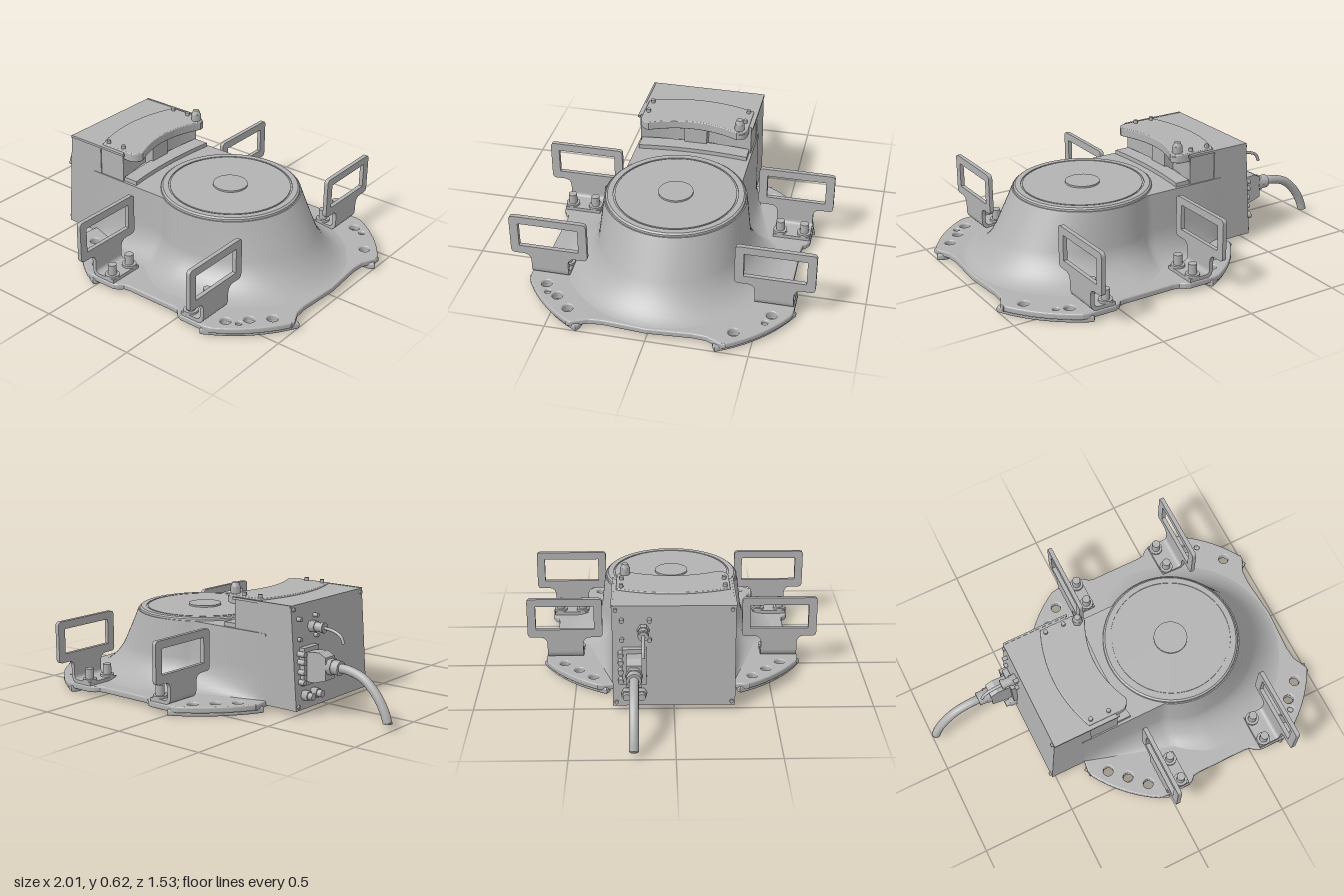
import * as THREE from 'three';

const CX = 0.33;   // centre of the round body
const W = 0.305;   // half width of the rear housing

export function createModel() {
  const model = new THREE.Group();
  const gray = new THREE.MeshStandardMaterial({ color: 0xb2b2b2 });
  gray.name = 'castGray';

  const add = (name, geo, x = 0, y = 0, z = 0, parent = model) => {
    const m = new THREE.Mesh(geo, gray);
    m.name = name;
    m.position.set(x, y, z);
    parent.add(m);
    return m;
  };
  const poly = pts => new THREE.Shape(pts.map(p => new THREE.Vector2(p[0], p[1])));
  const hole = (shape, x, y, r) => shape.holes.push(new THREE.Path().absarc(x, y, r, 0, Math.PI * 2, true));
  // plan shape (x, -z) raised along y
  const slab = (shape, h, bevel = 0) => {
    const g = new THREE.ExtrudeGeometry(shape, {
      depth: h - 2 * bevel, curveSegments: 24, bevelEnabled: bevel > 0,
      bevelSize: bevel, bevelThickness: bevel, bevelOffset: -bevel, bevelSegments: 3 });
    return g.translate(0, 0, bevel).rotateX(-Math.PI / 2);
  };
  // side shape (x, y) centred along z
  const across = (shape, w) => new THREE.ExtrudeGeometry(shape, { depth: w, bevelEnabled: false, curveSegments: 12 }).translate(0, 0, -w / 2);
  const cyl = (r, h, n = 24, r2 = r) => new THREE.CylinderGeometry(r, r2, h, n);
  const cylX = (r, h, n = 24, r2 = r) => cyl(r, h, n, r2).rotateZ(Math.PI / 2);

  // Base flange with bolt holes
  const half = [[0.957, 0.22], [0.962, 0.29], [0.985, 0.34], [0.998, 0.365], [0.998, 0.39]];
  for (let i = 0; i <= 10; i++) {
    const a = 0.53 + i * 0.0505;
    half.push([CX + 0.768 * Math.cos(a), 0.768 * Math.sin(a)]);
  }
  half.push([0.69, 0.667], [0.545, 0.667], [0.52, 0.655], [0.5, 0.635], [0.47, 0.63]);
  const mirrorX = half.slice().reverse().map(([x, z]) => [2 * CX - x, z]).filter(p => p[1] > 0.36);
  const top = [[0.973, 0], ...half, ...mirrorX, [-0.33, 0.3]];
  const flange = poly([...top, ...top.slice(1).reverse().map(([x, z]) => [x, -z])]);
  for (const s of [1, -1]) {
    for (const [dx, z] of [[0.57, 0.41], [0.49, 0.487], [0.41, 0.567]]) {
      hole(flange, CX - dx, s * z, 0.026);
      if (!(s > 0 && dx === 0.49)) hole(flange, CX + dx, s * z, 0.026);
    }
    hole(flange, 0.8, s * 0.543, 0.015);
  }
  add('baseFlange', slab(flange, 0.032, 0.008), 0, 0.02, 0);

  // Foot pads under the four corners
  const pad = new THREE.Shape();
  pad.absarc(0, 0, 0.758, -0.32, 0.32, false);
  pad.quadraticCurveTo(0.67, 0.235, 0.635, 0.17);
  pad.lineTo(0.635, -0.17);
  pad.quadraticCurveTo(0.67, -0.235, 0.758 * Math.cos(0.32), -0.758 * Math.sin(0.32));
  for (const t of [-0.113, 0, 0.113]) hole(pad, 0.692, t, 0.026);
  for (let i = 0; i < 4; i++) {
    add('footPad', slab(pad, 0.035, 0.01), CX, 0, 0).rotation.y = Math.PI / 4 + i * Math.PI / 2;
  }

  // Flared body: plan path swept down with a slope and a fillet
  const path = [];
  const R = 0.36, end = Math.PI - Math.asin(W / R);
  for (let i = 0; i < 12; i++) path.push([-0.33 + i * 0.04, W, 0, 1]);
  for (let i = 0; i <= 64; i++) {
    const a = end * (1 - i / 32), c = Math.cos(a), s = Math.sin(a);
    path.push([CX + R * c, R * s, Math.max(0, c), c > 0 ? s : Math.sign(s)]);
  }
  for (let i = 11; i >= 0; i--) path.push([-0.33 + i * 0.04, -W, 0, -1]);
  const levels = [0.392, 0.34, 0.28, 0.2, 0.17, 0.14, 0.115, 0.093, 0.077, 0.064, 0.056, 0.051];
  const pos = [], idx = [];
  levels.forEach((y, j) => {
    const down = (0.392 - y) / 0.341, u = Math.max(0, (0.2 - y) / 0.15);
    const curve = 1 - Math.sqrt(1 - u * u);
    path.forEach(([x, z, nx, nz], i) => {
      const f = Math.min(1, (x + 0.33) / 0.66);
      const d = down * (0.04 * f + 0.15 * nx * nx) + curve * (0.19 * f - 0.1 * nx * nx);
      pos.push(x + nx * d, y, z + nz * d);
      if (j && i) {
        const e = j * path.length + i, b = e - path.length;
        idx.push(b - 1, e - 1, b, b, e - 1, e);
      }
    });
  });
  const flare = new THREE.BufferGeometry();
  flare.setAttribute('position', new THREE.Float32BufferAttribute(pos, 3));
  flare.setIndex(idx);
  flare.computeVertexNormals();
  add('flaredBody', flare);
  add('bodyDeck', slab(poly(path.map(p => [p[0], -p[1]])), 0.012), 0, 0.38, 0);

  // Round top cover with a groove and a raised centre cap
  const cover = [[0.355, 0], [0.352, 0.013], [0.343, 0.02], [0.314, 0.02], [0.314, 0.015], [0.306, 0.015], [0.306, 0.02], [0, 0.02]];
  for (let i = 0; i < cover.length - 1; i++) {
    add('topCover', new THREE.LatheGeometry([cover[i], cover[i + 1]].map(p => new THREE.Vector2(...p)), 64), CX, 0.388, 0);
  }
  add('centreCap', cyl(0.088, 0.012, 40), CX, 0.411, 0);

  // Rear housing with sloping end and a recess under the lid
  add('housing', across(poly([[-0.52, 0.03], [0.1, 0.03], [0.1, 0.385], [-0.28, 0.385], [-0.28, 0.55], [-0.482, 0.55]]), 2 * W - 0.004));
  const block = new THREE.Shape();
  block.moveTo(-0.3, -0.298);
  block.lineTo(-0.13, -0.298);
  block.quadraticCurveTo(-0.25, 0, -0.13, 0.298);
  block.lineTo(-0.3, 0.298);
  add('recessWall', slab(block, 0.165), 0, 0.385, 0);
  add('recessPost', new THREE.BoxGeometry(0.06, 0.125, 0.12), -0.165, 0.452, 0);
  const lip = new THREE.Shape();
  lip.moveTo(-0.13, -0.29);
  lip.lineTo(-0.05, -0.29);
  lip.quadraticCurveTo(-0.09, 0, -0.05, 0.29);
  lip.lineTo(-0.13, 0.29);
  lip.quadraticCurveTo(-0.17, 0, -0.13, -0.29);
  add('recessLip', slab(lip, 0.028), 0, 0.386, 0);
  for (const s of [1, -1]) {
    add('housingTrim', new THREE.BoxGeometry(0.36, 0.012, 0.01), -0.3, 0.546, s * 0.303);
    for (const y of [0.05, 0.53]) add('cornerScrew', cylX(0.01, 0.02, 12), -0.52 + (y - 0.03) * 0.073, y, s * 0.285);
  }

  // Curved lid, screws and pressure knob
  const lid = new THREE.Shape();
  lid.moveTo(-0.28, -0.285);
  lid.lineTo(-0.11, -0.285);
  lid.quadraticCurveTo(-0.06, -0.285, -0.05, -0.235);
  lid.quadraticCurveTo(-0.165, 0, -0.05, 0.235);
  lid.quadraticCurveTo(-0.06, 0.285, -0.11, 0.285);
  lid.lineTo(-0.28, 0.285);
  lid.quadraticCurveTo(-0.395, 0, -0.28, -0.285);
  add('lid', slab(lid, 0.047, 0.005), 0, 0.511, 0);
  for (const [x, z] of [[-0.26, -0.26], [-0.26, 0.26], [-0.16, 0.26], [-0.16, -0.26]]) add('lidScrew', cyl(0.011, 0.022, 16), x, 0.564, z);
  add('knobBase', cyl(0.038, 0.03, 24), -0.088, 0.53, -0.243);
  add('knobStem', cyl(0.026, 0.05, 6), -0.088, 0.57, -0.243);
  add('knobCap', cyl(0.016, 0.022, 20, 0.024), -0.088, 0.604, -0.243);

  // Lifting handles: bent foot, stem and rectangular grip
  const foot = new THREE.Shape();
  foot.moveTo(-0.35, 0.18);
  foot.lineTo(-0.35, 0.095);
  foot.quadraticCurveTo(-0.35, 0.05, -0.305, 0.05);
  foot.lineTo(-0.215, 0.05);
  foot.lineTo(-0.215, 0.07);
  foot.lineTo(-0.305, 0.07);
  foot.quadraticCurveTo(-0.33, 0.07, -0.33, 0.095);
  foot.lineTo(-0.33, 0.18);
  const grip = new THREE.Shape();
  grip.moveTo(-0.095, 0.13);
  grip.lineTo(0.095, 0.13);
  grip.quadraticCurveTo(0.095, 0.172, 0.135, 0.172);
  grip.lineTo(0.175, 0.172);
  grip.quadraticCurveTo(0.197, 0.172, 0.197, 0.195);
  grip.lineTo(0.197, 0.368);
  grip.quadraticCurveTo(0.197, 0.39, 0.175, 0.39);
  grip.lineTo(-0.175, 0.39);
  grip.quadraticCurveTo(-0.197, 0.39, -0.197, 0.368);
  grip.lineTo(-0.197, 0.195);
  grip.quadraticCurveTo(-0.197, 0.172, -0.175, 0.172);
  grip.lineTo(-0.135, 0.172);
  grip.quadraticCurveTo(-0.095, 0.172, -0.095, 0.13);
  grip.holes.push(new THREE.Path([[-0.153, 0.217], [-0.153, 0.349], [0.153, 0.349], [0.153, 0.217]].map(p => new THREE.Vector2(...p))));
  for (const side of [0, Math.PI]) for (const s of [1, -1]) {
    const h = new THREE.Group();
    h.name = 'liftingHandle';
    h.position.set(CX, 0, s * 0.566);
    h.rotation.y = side;
    add('handleFoot', across(foot, 0.19), 0, 0, 0, h);
    add('handleGrip', across(grip, 0.022).rotateY(Math.PI / 2), -0.34, 0, 0, h);
    for (const z of [-0.063, 0.063]) {
      add('boltWasher', cyl(0.036, 0.012), -0.25, 0.076, z, h);
      add('boltHead', cyl(0.022, 0.055, 20), -0.25, 0.108, z, h);
    }
    model.add(h);
  }

  // Main connector and thick cable
  const zc = -0.195;
  add('mainPlug', across(poly([[-0.5, 0.17], [-0.575, 0.17], [-0.64, 0.19], [-0.64, 0.305], [-0.6, 0.325], [-0.5, 0.315]]), 0.075), 0, 0, zc);
  add('plugFlange', new THREE.BoxGeometry(0.03, 0.19, 0.12), -0.515, 0.245, zc);
  add('cableNut', cylX(0.043, 0.03, 6), -0.65, 0.257, zc);
  add('cableGland', cylX(0.036, 0.05), -0.68, 0.257, zc);
  const tube = (name, pts, r, z) => add(name, new THREE.TubeGeometry(
    new THREE.CatmullRomCurve3(pts.map(p => new THREE.Vector3(p[0], p[1], z))), 40, r, 16));
  tube('mainCable', [[-0.68, 0.257], [-0.75, 0.255], [-0.84, 0.225], [-0.915, 0.155], [-0.96, 0.08], [-0.976, 0.035]], 0.023, zc);
  add('cableEnd', cyl(0.0235, 0.006, 16), -0.976, 0.036, zc);

  // Small connector and thin cable
  add('smallSocket', cylX(0.03, 0.04, 6), -0.505, 0.43, -0.15);
  add('smallPlug', cylX(0.023, 0.06), -0.545, 0.43, -0.15);
  add('smallCollar', cylX(0.027, 0.016), -0.565, 0.43, -0.15);
  tube('thinCable', [[-0.57, 0.43], [-0.625, 0.422], [-0.67, 0.4], [-0.688, 0.365]], 0.008, -0.15);

  // Lower fittings and panel screws on the end face
  for (const z of [-0.16, -0.235]) {
    add('lowerFitting', cylX(0.026, 0.04, 6), -0.53, 0.1, z);
    add('lowerFittingCap', cylX(0.018, 0.03), -0.56, 0.1, z);
  }
  for (const y of [0.17, 0.22, 0.27, 0.31]) add('plugScrew', cylX(0.014, 0.045, 12), -0.52, y, -0.262);
  for (const y of [0.38, 0.48]) for (const z of [-0.255, -0.12]) add('panelScrew', cylX(0.011, 0.03, 12), -0.498, y, z);
  return model;
}
